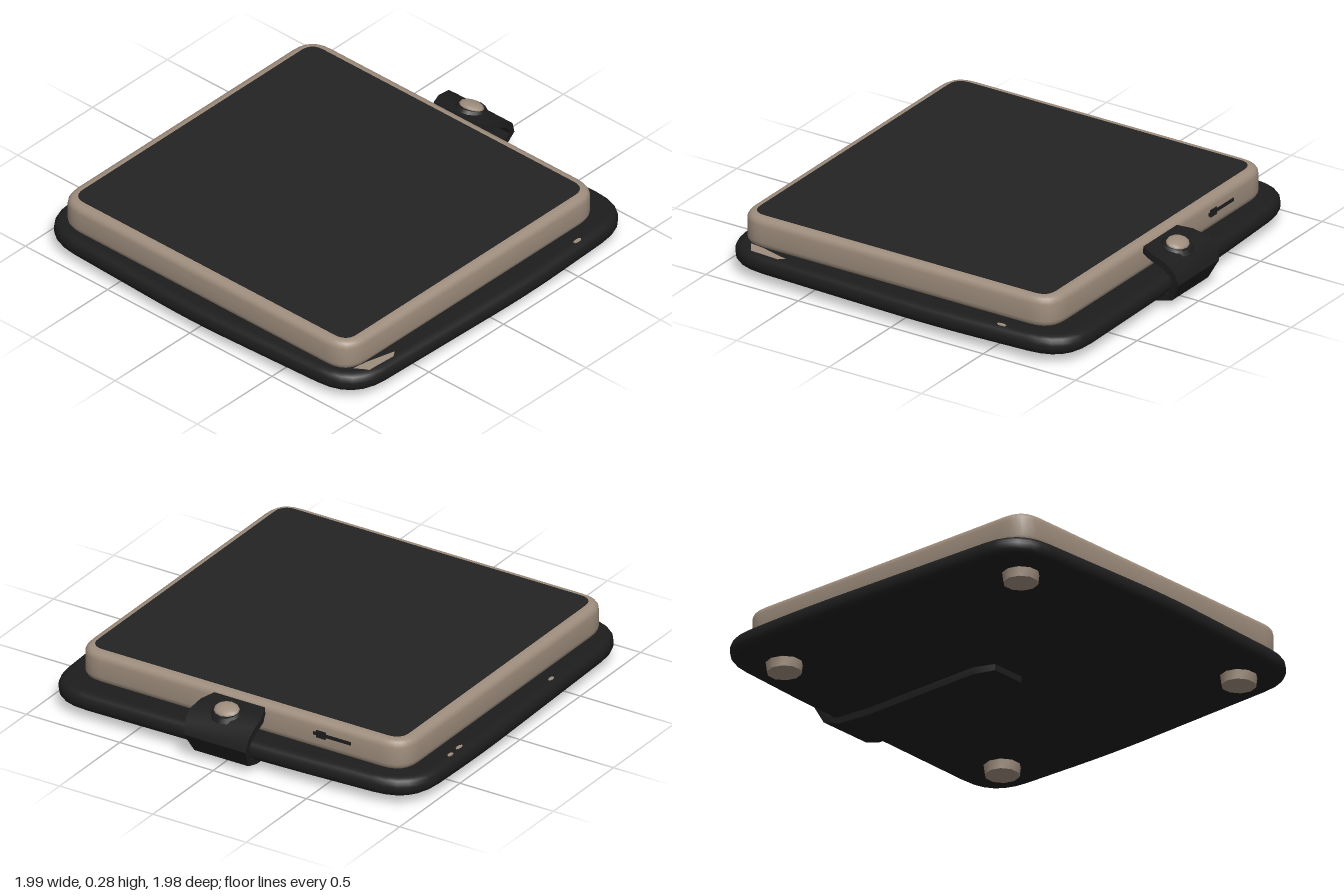
import * as THREE from 'three';
import { toCreasedNormals } from 'three/addons/utils/BufferGeometryUtils.js';

const material = (name, color) => new THREE.MeshStandardMaterial({ name, color });

// Closed outline in x/z with every corner cut by a curve of radius r
function roundedOutline(corners, r) {
  const shape = new THREE.Shape();
  const pts = corners.map(([x, z]) => new THREE.Vector2(x, z));
  pts.forEach((p, i) => {
    const prev = pts[(i + pts.length - 1) % pts.length];
    const next = pts[(i + 1) % pts.length];
    const a = p.clone().add(prev.clone().sub(p).setLength(r));
    const b = p.clone().add(next.clone().sub(p).setLength(r));
    if (i === 0) shape.moveTo(a.x, a.y);
    else shape.lineTo(a.x, a.y);
    shape.quadraticCurveTo(p.x, p.y, b.x, b.y);
  });
  shape.closePath();
  return shape;
}

// Horizontal slab between two heights with rounded rims
function slab(shape, bottom, top, bevel) {
  const g = new THREE.ExtrudeGeometry(shape, {
    depth: top - bottom - 2 * bevel, curveSegments: 6,
    bevelEnabled: bevel > 0, bevelSize: bevel, bevelThickness: bevel,
    bevelOffset: -bevel, bevelSegments: 4,
  });
  g.rotateX(Math.PI / 2);
  g.translate(0, top - bevel, 0);
  return toCreasedNormals(g, 0.7);
}

// Band swept through stations [x, y, half width, z centre]
function band(stations, thickness) {
  const pos = [], index = [];
  stations.forEach(([x, y, w, zc], i) => {
    const a = stations[Math.max(i - 1, 0)];
    const b = stations[Math.min(i + 1, stations.length - 1)];
    const d = new THREE.Vector2(b[0] - a[0], b[1] - a[1]).setLength(thickness / 2);
    const nx = -d.y, ny = d.x;
    pos.push(x + nx, y + ny, zc - w, x + nx, y + ny, zc + w,
      x - nx, y - ny, zc + w, x - nx, y - ny, zc - w);
  });
  for (let i = 0; i < stations.length - 1; i++) {
    for (let k = 0; k < 4; k++) {
      const a = i * 4 + k, b = i * 4 + (k + 1) % 4;
      index.push(a, b, b + 4, a, b + 4, a + 4);
    }
  }
  const e = (stations.length - 1) * 4;
  index.push(0, 2, 1, 0, 3, 2, e, e + 1, e + 2, e, e + 2, e + 3);
  const g = new THREE.BufferGeometry();
  g.setAttribute('position', new THREE.Float32BufferAttribute(pos, 3));
  g.setIndex(index);
  return toCreasedNormals(g, 0.6);
}

export function createModel() {
  const model = new THREE.Group();
  const black = material('black leather', 0x1d1d1d);
  const dark = material('dark panel', 0x232323);
  const tan = material('tan metal', 0x9e8d7d);
  const add = (name, geometry, mat, x = 0, y = 0, z = 0) => {
    const mesh = new THREE.Mesh(geometry, mat);
    mesh.name = name;
    mesh.position.set(x, y, z);
    model.add(mesh);
    return mesh;
  };

  // Base tray with slightly bowed sides
  const baseOutline = roundedOutline([
    [-0.96, -0.965], [0.3, -1.0], [0.87, -0.985], [0.905, -0.3],
    [0.925, 0.96], [0.2, 0.992], [-0.955, 0.955], [-1.0, 0],
  ], 0.22);
  add('base', slab(baseOutline, 0.05, 0.143, 0.04), black);

  // Raised body and its top panel
  const rect = (x0, x1, z0, z1, r) =>
    roundedOutline([[x0, z0], [x1, z0], [x1, z1], [x0, z1]], r);
  add('body', slab(rect(-0.912, 0.785, -0.885, 0.875, 0.13), 0.135, 0.287, 0.035), tan);
  add('topPanel', slab(rect(-0.865, 0.735, -0.835, 0.83, 0.07), 0.284, 0.29, 0), dark);

  // Four low feet
  for (const x of [-0.765, 0.665]) {
    for (const z of [-0.735, 0.735]) {
      const foot = new THREE.CylinderGeometry(0.088, 0.08, 0.06, 10);
      add('foot', toCreasedNormals(foot, 0.7), tan, x, 0.035, z);
    }
  }

  // Strap running under the base and wrapping over the right edge
  add('strap', band([
    [-0.04, 0.036, 0.09, -0.01], [0.06, 0.032, 0.13, -0.01], [0.7, 0.028, 0.13, -0.01],
    [0.86, 0.036, 0.135, -0.01], [0.935, 0.06, 0.145, -0.01], [0.98, 0.145, 0.165, -0.005],
    [0.965, 0.19, 0.17, -0.005], [0.925, 0.227, 0.175, -0.005],
    [0.85, 0.245, 0.165, -0.005], [0.785, 0.256, 0.135, -0.005],
  ], 0.034), black);

  // Strap stud on its collar
  const collar = add('studCollar', new THREE.CylinderGeometry(0.065, 0.08, 0.02, 12), black, 0.885, 0.256, 0);
  const stud = add('stud', new THREE.SphereGeometry(0.055, 12, 8), tan, 0.886, 0.265, 0);
  stud.scale.set(0.95, 0.4, 1.15);
  for (const part of [collar, stud]) part.rotation.z = -0.25;

  // Side slot on the right wall
  add('sideSlot', new THREE.BoxGeometry(0.006, 0.016, 0.2), black, 0.786, 0.218, -0.5);
  add('sideSlotEnd', new THREE.BoxGeometry(0.006, 0.036, 0.05), black, 0.786, 0.218, -0.44);

  // Worn patches on the tray
  const worn = new THREE.Shape([[-0.85, 0.86], [-0.78, 0.87], [-0.63, 0.91], [-0.66, 0.93], [-0.81, 0.92]]
    .map(([x, z]) => new THREE.Vector2(x, z)));
  add('wornPatch', slab(worn, 0.141, 0.145, 0), tan);
  for (const [x, z, w] of [[0.43, -0.95, 0.05], [0.51, -0.955, 0.04], [-0.35, -0.94, 0.04], [0.56, 0.94, 0.05]]) {
    const spot = add('wornSpot', new THREE.CylinderGeometry(0.5, 0.5, 0.004, 8), tan, x, 0.143, z);
    spot.scale.set(w, 1, 0.02);
  }
  return model;
}
